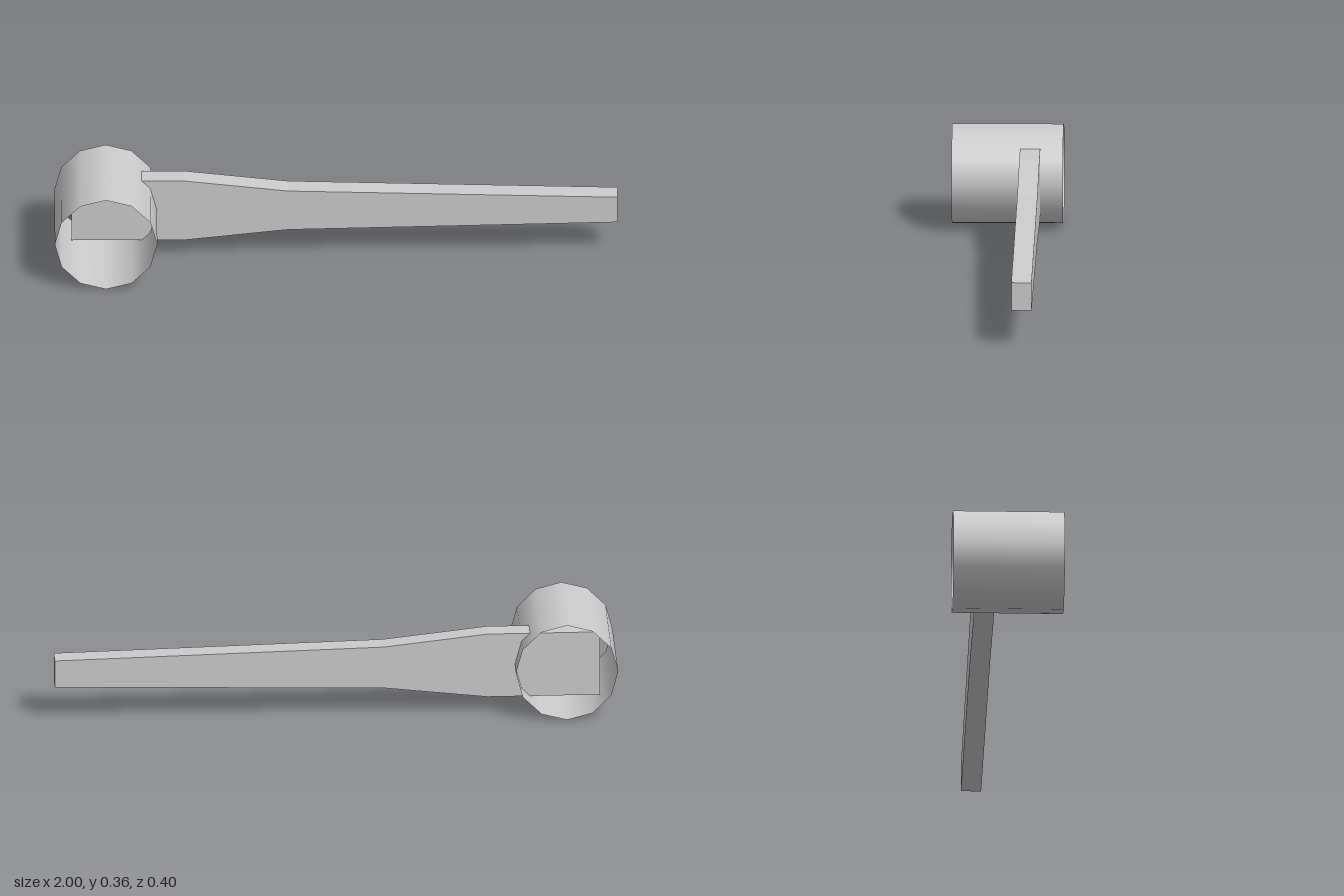
import * as THREE from 'three';

export function createModel() {
  const model = new THREE.Group();
  model.name = 'mallet';
  const grey = new THREE.MeshStandardMaterial({ color: 0xcccccc, side: THREE.DoubleSide });
  grey.name = 'light grey';
  const midY = 0.183;

  // Open twelve-sided sleeve lying along z
  const sleeve = new THREE.Mesh(
    new THREE.CylinderGeometry(0.182, 0.182, 0.396, 12, 1, true).rotateX(Math.PI / 2),
    grey
  );
  sleeve.name = 'headSleeve';
  sleeve.position.set(-0.818, midY, 0);
  model.add(sleeve);

  // Flat tapered handle: [x, half height], mirrored about its centre line
  const profile = [[-0.94, 0.121], [-0.54, 0.121], [-0.17, 0.079], [1, 0.051]];
  const outline = [
    ...profile.map(([x, h]) => new THREE.Vector2(x, -h)),
    ...profile.map(([x, h]) => new THREE.Vector2(x, h)).reverse(),
  ];
  const handle = new THREE.Mesh(
    new THREE.ExtrudeGeometry(new THREE.Shape(outline), { depth: 0.072, bevelEnabled: false }),
    grey
  );
  handle.name = 'handle';
  handle.position.set(0, midY, -0.117);
  model.add(handle);

  return model;
}
